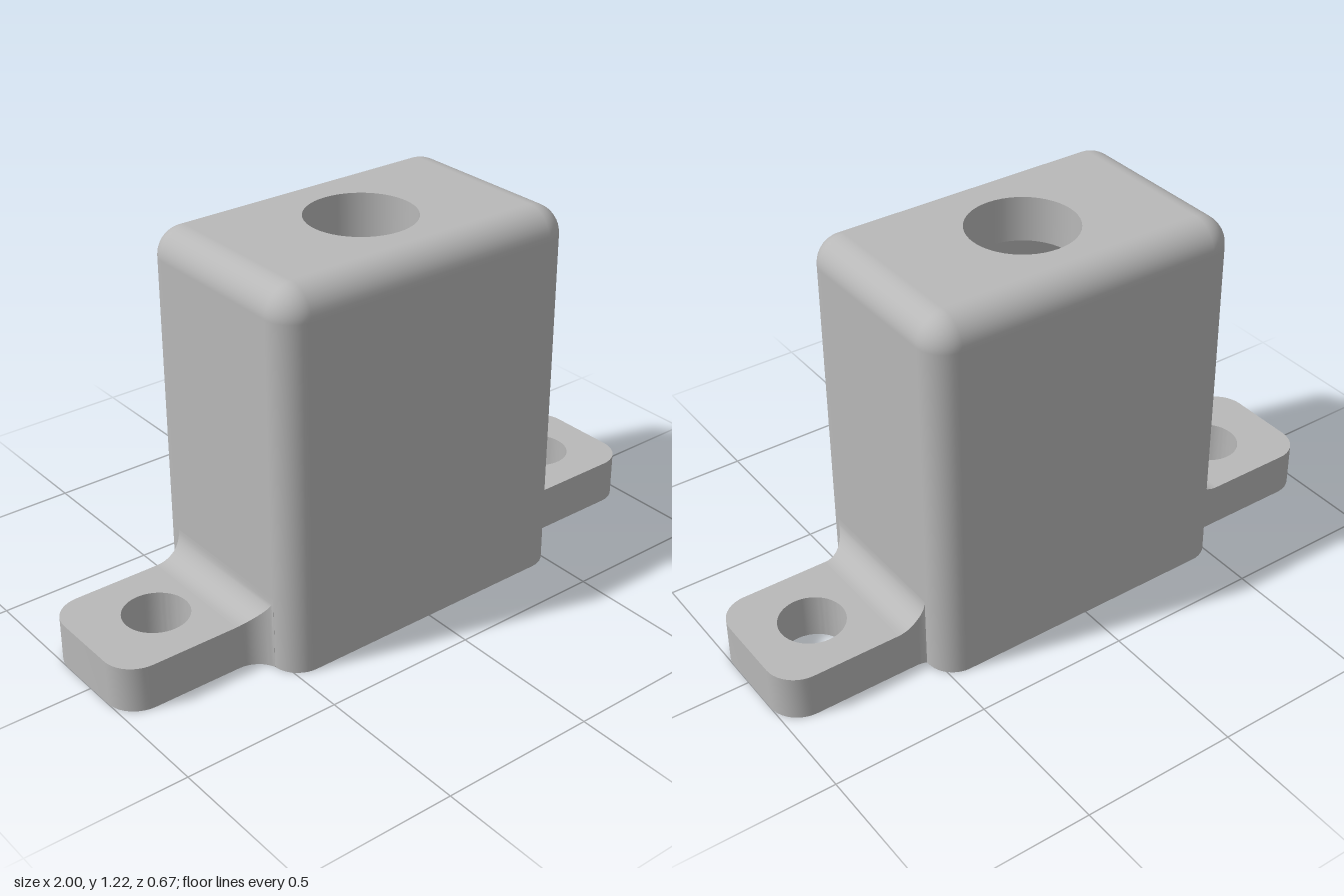
import * as THREE from 'three';
import { toCreasedNormals } from 'three/addons/utils/BufferGeometryUtils.js';

const R = 0.09;                                // edge and fillet radius
const BODY = { x: 0.525, z: 0.335, h: 1.215 }; // half width, half depth, height
const CAVITY = { x: 0.43, z: 0.238, h: 1.07 };
const BORE = 0.17;
const TAB = { back: -0.23, front: 0.19, h: 0.147, start: 0.615, r: 0.1 };

const grey = new THREE.MeshStandardMaterial({ color: 0xb8b8b8, side: THREE.DoubleSide });
grey.name = 'grey';

function add(group, name, geometry) {
  const mesh = new THREE.Mesh(geometry, grey);
  mesh.name = name;
  group.add(mesh);
  return mesh;
}

// Points on an arc around (cx, cy)
function arc(cx, cy, r, from, to, n = 10) {
  return Array.from({ length: n + 1 }, (_, i) => {
    const t = from + (to - from) * i / n;
    return new THREE.Vector2(cx + r * Math.cos(t), cy + r * Math.sin(t));
  });
}

function roundedRect(hx, hz, r) {
  const signs = [[1, 1], [-1, 1], [-1, -1], [1, -1]];
  return signs.flatMap(([sx, sz], k) =>
    arc(sx * (hx - r), sz * (hz - r), r, k * Math.PI / 2, (k + 1) * Math.PI / 2));
}

function rect(hx, hz) {
  return [[hx, hz], [-hx, hz], [-hx, -hz], [hx, -hz]].map(p => new THREE.Vector2(...p));
}

// Flat horizontal face with one opening
function face(outline, opening, y, up) {
  const shape = new THREE.Shape(outline);
  shape.holes.push(new THREE.Path(opening));
  const geo = new THREE.ShapeGeometry(shape);
  return geo.rotateX(up ? -Math.PI / 2 : Math.PI / 2).translate(0, y, 0);
}

// Outer skin: straight walls, then a rounded top edge
function skinGeometry() {
  const levels = [[0, 0]];
  for (let i = 0; i <= 10; i++) {
    const a = i / 10 * Math.PI / 2;
    levels.push([BODY.h - R + R * Math.sin(a), a]);
  }
  const pos = [], nor = [], idx = [];
  const base = roundedRect(BODY.x, BODY.z, R), n = base.length;
  for (const [y, a] of levels) {
    base.forEach((p, j) => {
      const t = (Math.floor(j / 11) + (j % 11) / 10) * Math.PI / 2;
      const inset = R * (1 - Math.cos(a));
      pos.push(p.x - inset * Math.cos(t), y, p.y - inset * Math.sin(t));
      nor.push(Math.cos(a) * Math.cos(t), Math.sin(a), Math.cos(a) * Math.sin(t));
    });
  }
  for (let i = 0; i < levels.length - 1; i++) {
    for (let j = 0; j < n; j++) {
      const a = i * n + j, b = i * n + (j + 1) % n;
      idx.push(a, a + n, b, b, a + n, b + n);
    }
  }
  const geo = new THREE.BufferGeometry();
  geo.setAttribute('position', new THREE.Float32BufferAttribute(pos, 3));
  geo.setAttribute('normal', new THREE.Float32BufferAttribute(nor, 3));
  geo.setIndex(idx);
  return geo;
}

// Mounting tab with rounded outer corners and a screw hole
function tabGeometry(s, holeX) {
  const { back, front, h, start, r } = TAB;
  const pts = [
    new THREE.Vector2(start, -front),
    ...arc(1 - r, -front + r, r, -Math.PI / 2, 0),
    ...arc(1 - r, -back - r, r, 0, Math.PI / 2),
    new THREE.Vector2(start, -back),
  ];
  const shape = new THREE.Shape(pts.map(p => new THREE.Vector2(s * p.x, p.y)));
  const hole = new THREE.Path();
  hole.absarc(holeX, 0.02, 0.103, 0, Math.PI * 2, true);
  shape.holes.push(hole);
  const geo = new THREE.ExtrudeGeometry(shape, { depth: h, bevelEnabled: false, curveSegments: 40 });
  return toCreasedNormals(geo.rotateX(-Math.PI / 2), 0.5);
}

// Root of the tab, flaring into the body on top and on both sides
function rootGeometry(s) {
  const dip = d => R - Math.sqrt(Math.max(0, R * R - Math.max(0, d) ** 2));
  const section = (x, xDraw = x) => {
    const y = TAB.h + dip(TAB.start - x);
    const zf = TAB.front + dip(0.61 - x), zb = TAB.back - dip(0.56 - x);
    return [[0, zf], [y, zf], [y, zb], [0, zb]].map(([py, pz]) => [s * xDraw, py, pz]);
  };
  const rows = [];
  for (let i = 0; i <= 14; i++) rows.push(section(TAB.start - R * Math.sin(i / 14 * Math.PI / 2)));
  rows.push(section(BODY.x, BODY.x - 0.01));
  const pos = [];
  for (let i = 0; i < rows.length - 1; i++) {
    for (let k = 0; k < 4; k++) {
      const m = (k + 1) % 4;
      let quad = [rows[i][k], rows[i][m], rows[i + 1][m], rows[i + 1][k]];
      if (s < 0) quad = quad.reverse();
      const [a, b, c, d] = quad;
      pos.push(...a, ...b, ...c, ...a, ...c, ...d);
    }
  }
  const geo = new THREE.BufferGeometry();
  geo.setAttribute('position', new THREE.Float32BufferAttribute(pos, 3));
  return toCreasedNormals(geo, 0.5);
}

export function createModel() {
  const model = new THREE.Group();
  model.name = 'mountingHousing';

  // Hollow body, open below
  const body = new THREE.Group();
  body.name = 'body';
  model.add(body);
  const bore = arc(0, 0, BORE, 0, Math.PI * 2, 48).slice(0, -1);
  const cavity = rect(CAVITY.x, CAVITY.z);
  add(body, 'outerSkin', skinGeometry());
  add(body, 'topFace', face(rect(BODY.x - R, BODY.z - R), bore, BODY.h, true));
  add(body, 'bottomRim', face(roundedRect(BODY.x, BODY.z, R), cavity, 0, false));
  add(body, 'cavityCeiling', face(cavity, bore, CAVITY.h, false));
  const depth = BODY.h - CAVITY.h;
  add(body, 'topBore', new THREE.CylinderGeometry(BORE, BORE, depth, 48, 1, true))
    .position.y = CAVITY.h + depth / 2;

  // Inner walls face the cavity
  for (const s of [1, -1]) {
    const side = add(body, 'cavitySideWall', new THREE.PlaneGeometry(CAVITY.z * 2, CAVITY.h));
    side.position.set(s * CAVITY.x, CAVITY.h / 2, 0);
    side.rotation.y = -s * Math.PI / 2;
    const wall = add(body, 'cavityLongWall', new THREE.PlaneGeometry(CAVITY.x * 2, CAVITY.h));
    wall.position.set(0, CAVITY.h / 2, s * CAVITY.z);
    wall.rotation.y = s > 0 ? Math.PI : 0;
  }

  // Mounting tabs
  for (const [s, label, holeX] of [[1, 'left', 0.785], [-1, 'right', -0.755]]) {
    add(model, label + 'Tab', tabGeometry(s, holeX));
    add(model, label + 'TabRoot', rootGeometry(s));
  }
  return model;
}
